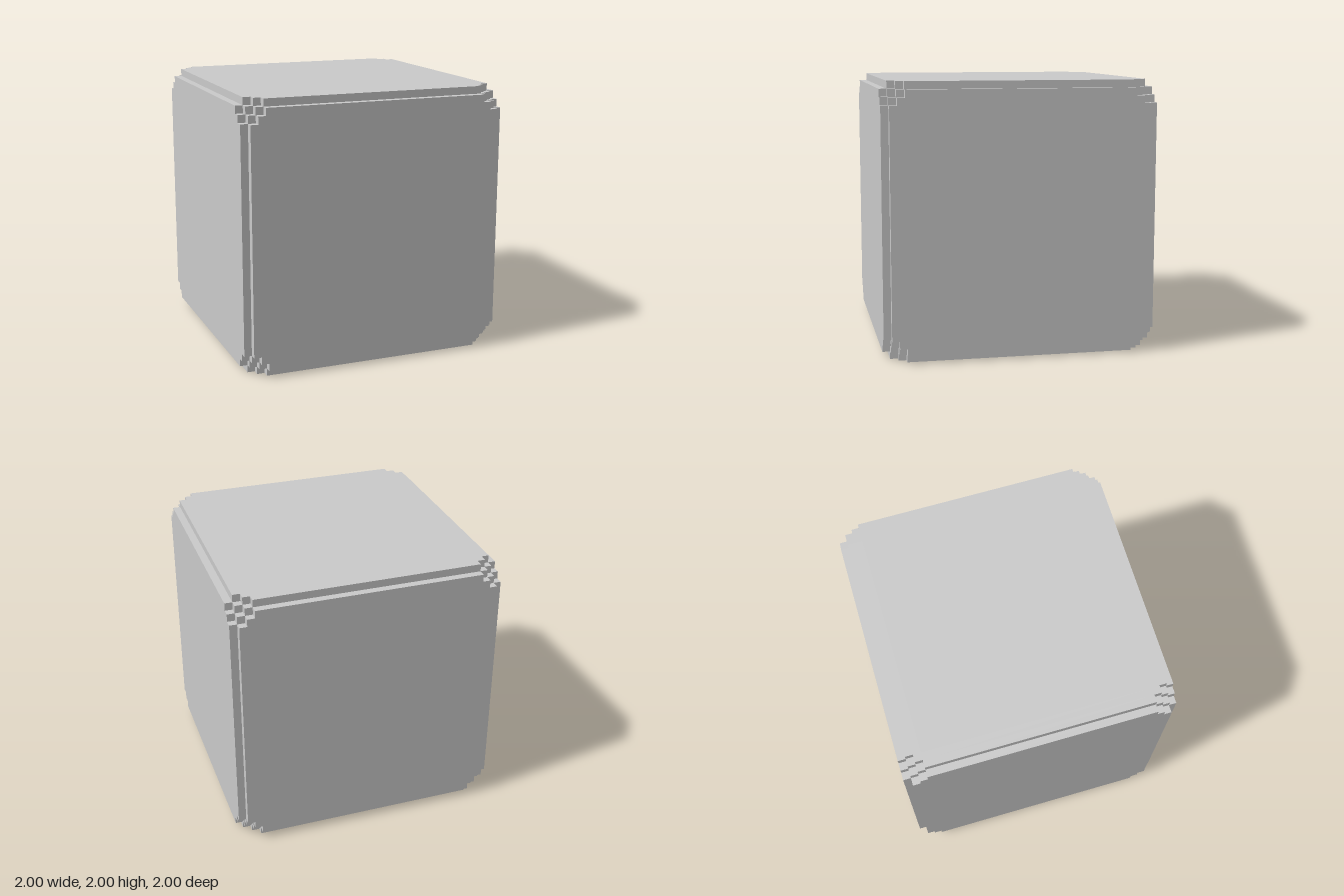
import * as THREE from 'three';

// Grid lines shared by all three axes: three thin steps at each end, one wide middle cell
const STEP = 1 / 18;
const LINES = [-18, -17, -16, -15, 15, 16, 17, 18].map((n) => n * STEP);
const CELLS = LINES.length - 1;

// Cell depth from the nearest end (0..3); a cell is solid when its depths add up to 4,
// which notches every edge once and cuts every corner into a staircase of small cubes
const depth = (i) => Math.min(i, CELLS - 1 - i);
const isSolid = (cell) =>
  cell.every((i) => i >= 0 && i < CELLS) &&
  cell.reduce((sum, i) => sum + depth(i), 0) >= 4;

function steppedCubeGeometry() {
  const positions = [];
  const normals = [];
  const indices = [];

  // One outward quad on the given side of a cell
  function addFace(cell, axis, side) {
    const u = (axis + 1) % 3;
    const v = (axis + 2) % 3;
    const first = positions.length / 3;
    for (const [du, dv] of [[0, 0], [1, 0], [1, 1], [0, 1]]) {
      const point = [0, 0, 0];
      point[axis] = LINES[cell[axis] + (side > 0 ? 1 : 0)];
      point[u] = LINES[cell[u] + du];
      point[v] = LINES[cell[v] + dv];
      positions.push(...point);
      const normal = [0, 0, 0];
      normal[axis] = side;
      normals.push(...normal);
    }
    const order = side > 0 ? [0, 1, 2, 0, 2, 3] : [0, 2, 1, 0, 3, 2];
    indices.push(...order.map((k) => first + k));
  }

  // Keep only the faces between a solid cell and an empty one
  for (let x = 0; x < CELLS; x++)
    for (let y = 0; y < CELLS; y++)
      for (let z = 0; z < CELLS; z++) {
        const cell = [x, y, z];
        if (!isSolid(cell)) continue;
        for (let axis = 0; axis < 3; axis++)
          for (const side of [-1, 1]) {
            const next = [...cell];
            next[axis] += side;
            if (!isSolid(next)) addFace(cell, axis, side);
          }
      }

  const geometry = new THREE.BufferGeometry();
  geometry.setAttribute('position', new THREE.Float32BufferAttribute(positions, 3));
  geometry.setAttribute('normal', new THREE.Float32BufferAttribute(normals, 3));
  geometry.setIndex(indices);
  return geometry;
}

export function createModel() {
  const group = new THREE.Group();
  group.name = 'steppedCubeModel';

  // Cube body with notched edges and stepped corners, standing on the ground
  const cube = new THREE.Mesh(
    steppedCubeGeometry(),
    new THREE.MeshStandardMaterial({ color: 0xcccccc, flatShading: true })
  );
  cube.name = 'steppedCube';
  cube.position.y = 1;
  group.add(cube);

  return group;
}
